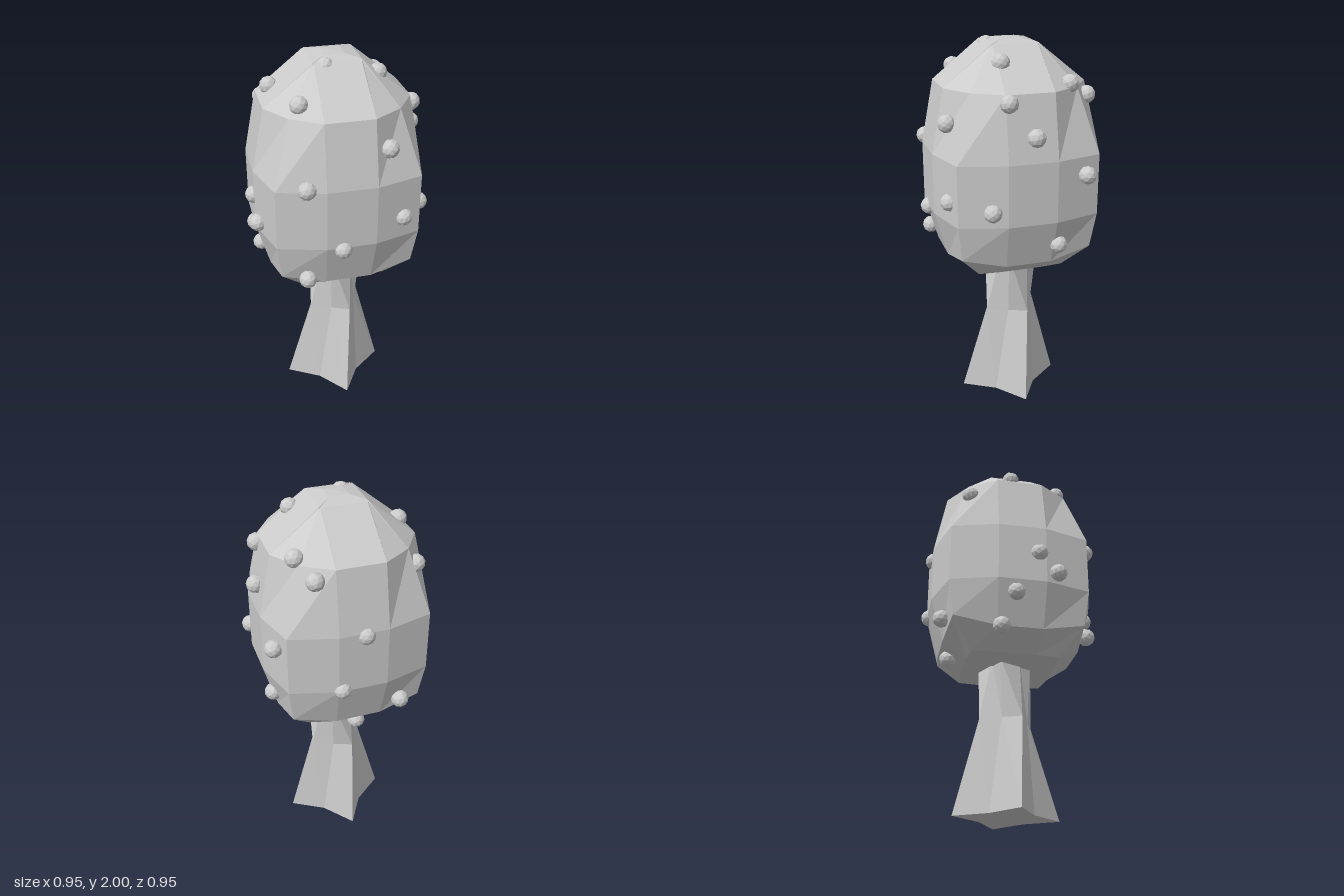
import * as THREE from 'three';

const mat = new THREE.MeshStandardMaterial({ color: 0xcccccc, flatShading: true });

// Repeats the points of one side four times round the y axis (counter-clockwise from above).
function fourfold(side, cx = 0, cz = 0) {
  const ring = [];
  for (let k = 0; k < 4; k++) {
    for (const [x, y, z] of side) {
      const p = [[x, z], [z, -x], [-x, -z], [-z, x]][k];
      ring.push([p[0] + cx, y, p[1] + cz]);
    }
  }
  return ring;
}

// Skins rings of equal length, bottom to top, and closes both ends with fans.
function loft(rings, bottom, top) {
  const n = rings[0].length;
  const pos = [bottom, ...rings.flat(), top].flat();
  const last = rings.length * n + 1;
  const idx = [];
  for (let i = 0; i < n; i++) {
    const j = (i + 1) % n;
    for (let r = 0; r < rings.length - 1; r++) {
      const a = 1 + r * n, b = a + n;
      idx.push(a + i, a + j, b + j, a + i, b + j, b + i);
    }
    idx.push(0, 1 + j, 1 + i);
    idx.push(last, last - n + i, last - n + j);
  }
  const geo = new THREE.BufferGeometry();
  geo.setAttribute('position', new THREE.Float32BufferAttribute(pos, 3));
  geo.setIndex(idx);
  const flat = geo.toNonIndexed();
  flat.computeVertexNormals();
  return flat;
}

export function createModel() {
  const model = new THREE.Group();
  const add = (geo, name, parent = model) => {
    const mesh = new THREE.Mesh(geo, mat);
    mesh.name = name;
    parent.add(mesh);
    return mesh;
  };

  // Trunk: twisted four-pointed star; each level is a root point and the notch beside it
  const trunk = [
    fourfold([[0.02, 0, 0.28], [0.12, 0, 0.11]], 0.01, 0),
    fourfold([[-0.04, 0.5, 0.11], [0.06, 0.5, 0.15]], 0.015, -0.005),
    fourfold([[-0.08, 0.84, 0.07], [-0.05, 0.84, 0.135]], 0.025, -0.01),
  ];
  add(loft(trunk, [0.01, 0, 0], [0.025, 0.84, -0.01]), 'trunk');

  // Crown: rounded box; levels of corner (reach, height) and side middle (half width, reach, height)
  const levels = [
    [0.23, 0.80, 0.11, 0.24, 0.80],
    [0.345, 0.94, 0.12, 0.37, 0.89],
    [0.37, 1.13, 0.128, 0.438, 1.13],
    [0.37, 1.45, 0.128, 0.438, 1.45],
    [0.275, 1.78, 0.125, 0.373, 1.78],
    [0.122, 1.975, 0.118, 0.125, 1.98],
    [0.05, 1.997, 0.048, 0.052, 1.997],
  ];
  const crown = levels.map(([c, cy, w, m, my]) =>
    fourfold([[-c, cy, c], [-w, my, m], [w, my, m]], 0.003, 0));
  add(loft(crown, [0, 0.80, 0], [0, 2, 0]), 'crown');

  // Berries: small faceted balls set into the crown
  const berries = new THREE.Group();
  berries.name = 'berries';
  model.add(berries);
  const berry = new THREE.IcosahedronGeometry(0.047, 1);
  const spots = [
    // top
    [-0.055, 1.955, 0.1], [0.21, 1.905, 0.1], [-0.215, 1.83, 0.245],
    [-0.31, 1.83, -0.04], [0.285, 1.8, -0.235],
    // front
    [0.2, 1.62, 0.375], [-0.215, 1.46, 0.405], [0.28, 1.24, 0.39],
    [-0.04, 1.115, 0.43], [-0.215, 0.935, 0.39],
    // left side
    [0.385, 1.74, 0.11], [0.43, 1.575, -0.015], [0.42, 1.36, -0.29],
    [0.425, 1.21, 0.205], [0.4, 0.995, -0.15],
    // right side
    [-0.32, 1.69, -0.265], [-0.43, 1.3, 0.09], [-0.43, 1.19, 0.19],
    [-0.415, 1.065, -0.03], [-0.38, 0.885, -0.1],
    // back
    [0.22, 1.725, -0.35], [-0.01, 1.43, -0.425], [0.11, 1.13, -0.425],
    [-0.22, 0.97, -0.39], [0, 0.84, -0.325],
  ];
  spots.forEach((p, i) => {
    const ball = add(berry, 'berry', berries);
    ball.position.set(...p);
    ball.rotation.set(i * 1.3, i * 2.1, 0);
  });
  return model;
}
